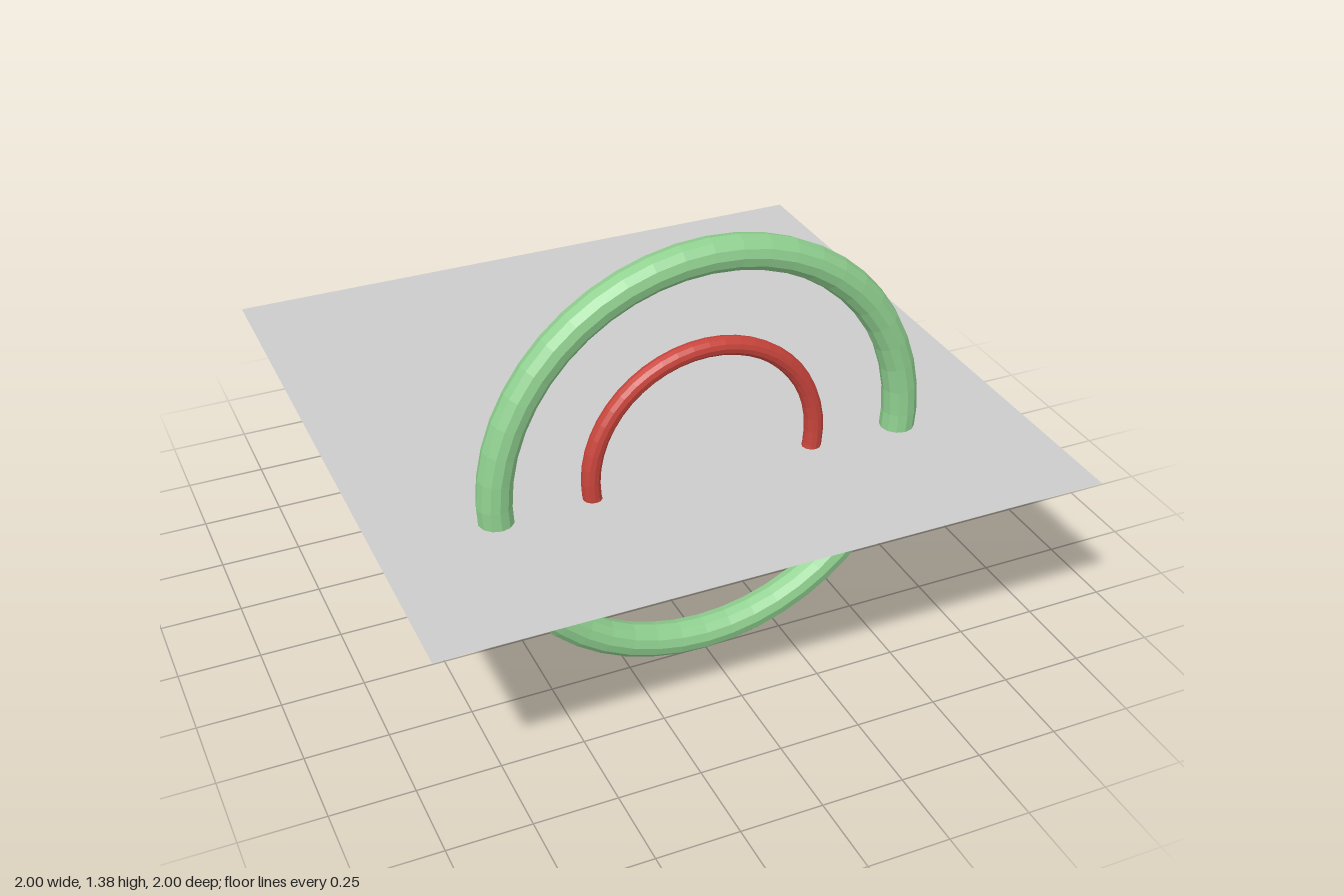
import * as THREE from 'three';

const RING_CENTER = [-0.01, 0.691, 0.487];

// Upright ring facing the front
function ring(name, radius, tube, color) {
  const mesh = new THREE.Mesh(
    new THREE.TorusGeometry(radius, tube, 12, 48),
    new THREE.MeshStandardMaterial({ color, flatShading: true })
  );
  mesh.name = name;
  mesh.position.set(...RING_CENTER);
  return mesh;
}

export function createModel() {
  const group = new THREE.Group();
  group.name = 'ringsThroughSheet';

  // Thin square sheet crossing the rings just below their centre
  const sheet = new THREE.Mesh(
    new THREE.PlaneGeometry(2, 2).rotateX(-Math.PI / 2),
    new THREE.MeshStandardMaterial({ color: 0xcccccc, side: THREE.DoubleSide })
  );
  sheet.name = 'sheet';
  sheet.position.y = 0.635;
  group.add(sheet);

  // Concentric rings
  group.add(ring('outerRing', 0.639, 0.052, 0x90d090));
  group.add(ring('innerRing', 0.352, 0.028, 0xc8453c));

  return group;
}
